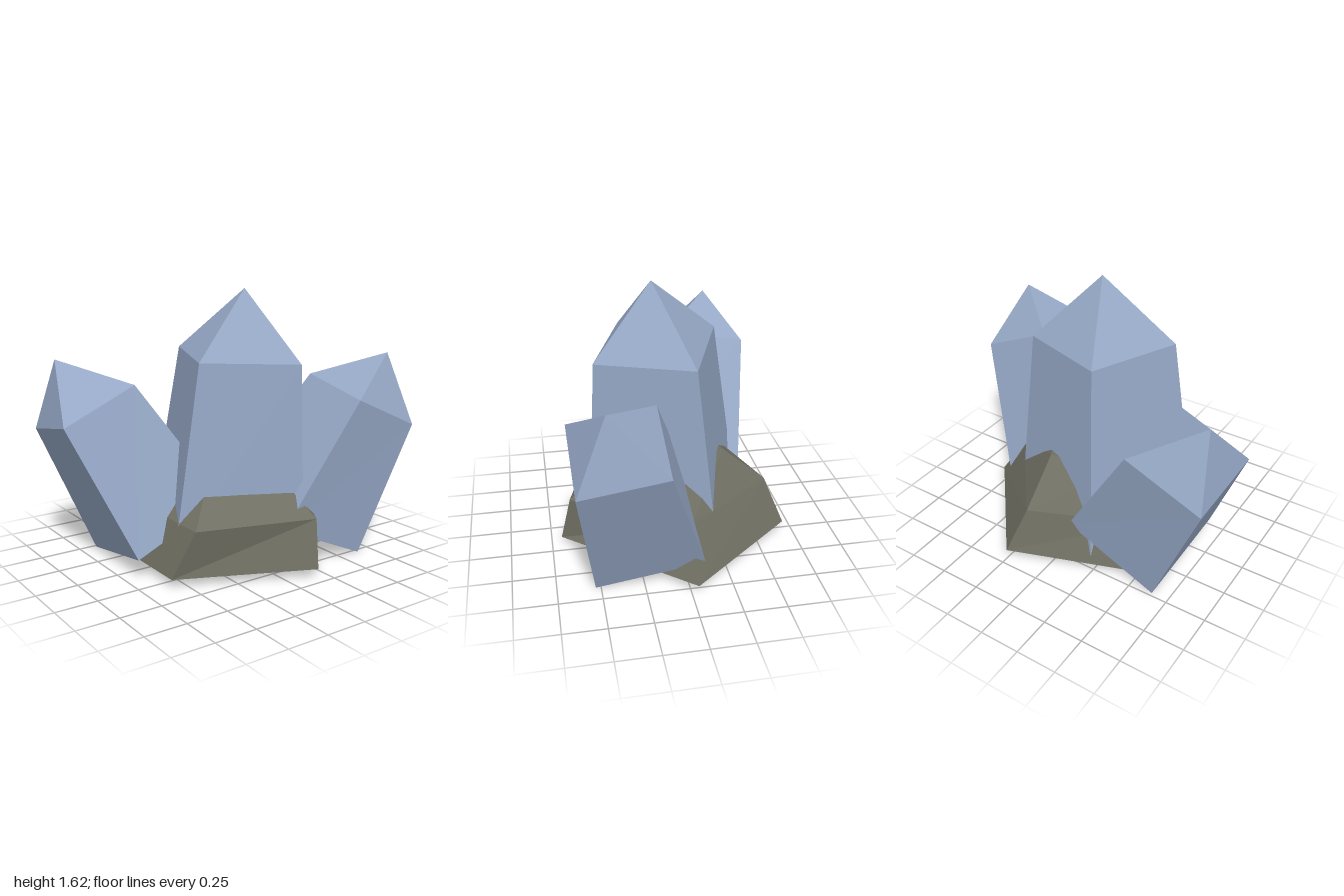
import * as THREE from 'three';

// Skins a stack of rings (each counter-clockwise seen from above, bottom first);
// closes the bottom, and the top either at a tip or flat.
function loft(rings, tip) {
  const pos = [];
  const tri = (a, b, c) => pos.push(...a, ...b, ...c);
  const n = rings[0].length;
  for (let r = 0; r < rings.length - 1; r++) {
    const lo = rings[r], hi = rings[r + 1];
    for (let i = 0; i < n; i++) {
      const j = (i + 1) % n;
      tri(lo[i], lo[j], hi[j]);
      tri(lo[i], hi[j], hi[i]);
    }
  }
  const base = rings[0], top = rings[rings.length - 1];
  for (let i = 1; i < n - 1; i++) tri(base[0], base[i + 1], base[i]);
  if (tip) for (let i = 0; i < n; i++) tri(top[i], top[(i + 1) % n], tip);
  else for (let i = 1; i < n - 1; i++) tri(top[0], top[i], top[i + 1]);
  const geo = new THREE.BufferGeometry();
  geo.setAttribute('position', new THREE.Float32BufferAttribute(pos, 3));
  geo.computeVertexNormals();
  return geo;
}

export function createModel() {
  const model = new THREE.Group();
  model.name = 'crystalCluster';

  const crystalBlue = new THREE.MeshStandardMaterial({ color: 0x96a8c6, flatShading: true });
  crystalBlue.name = 'crystalBlue';
  const rockGrey = new THREE.MeshStandardMaterial({ color: 0x6f6f63, flatShading: true });
  rockGrey.name = 'rockGrey';

  const add = (name, geo, mat) => {
    const mesh = new THREE.Mesh(geo, mat);
    mesh.name = name;
    model.add(mesh);
    return mesh;
  };
  const level = (y, pts) => pts.map(([x, z]) => [x, y, z]);

  // Five-sided rock with a bevelled, flat top
  add('rockBase', loft([
    level(0.05, [[-0.59, 0.34], [0.18, 0.69], [0.8, -0.04], [0.26, -0.695], [-0.59, -0.39]]),
    level(0.33, [[-0.48, 0.42], [0.21, 0.63], [0.61, -0.03], [0.17, -0.585], [-0.48, -0.31]]),
    level(0.57, [[-0.25, 0.21], [0.12, 0.33], [0.35, -0.03], [0.18, -0.31], [-0.25, -0.2]]),
  ]), rockGrey);

  // Tall middle crystal, leaning forward a little
  add('centreCrystal', loft([
    level(0.1, [[-0.52, 0.25], [0.22, 0.51], [0.5, -0.21], [-0.23, -0.5]]),
    [[-0.34, 1.23, 0.25], [0.22, 1.2, 0.46], [0.445, 1.21, -0.09], [-0.12, 1.25, -0.31]],
  ], [0.075, 1.62, 0.105]), crystalBlue);

  // Two side crystals: the same shape, turned half round
  const sideGeo = loft([
    [[0.06, 0.26, 0.53], [0.645, 0, 0.53], [0.69, 0.125, -0.1], [0.105, 0.385, -0.1]],
    [[0.51, 0.99, 0.645], [0.965, 0.79, 0.635], [1, 0.88, 0.15], [0.55, 1.08, 0.155]],
  ], [0.9, 1.22, 0.465]);
  add('leftCrystal', sideGeo, crystalBlue);
  const right = add('rightCrystal', sideGeo, crystalBlue);
  right.rotation.y = Math.PI;
  right.position.z = 0.05;

  return model;
}
